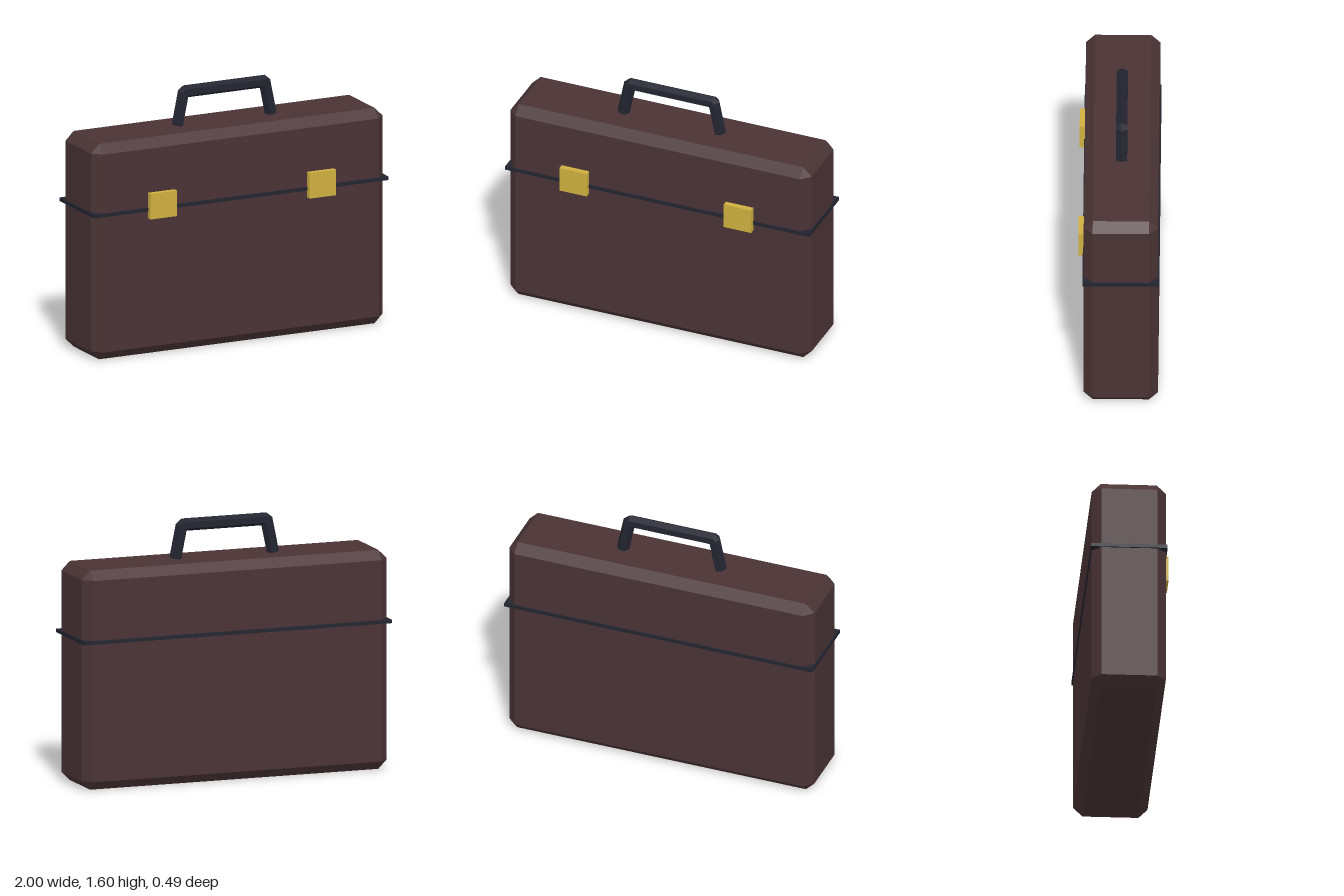
import * as THREE from 'three';
import { ConvexGeometry } from 'three/addons/geometries/ConvexGeometry.js';

const mat = (name, color) => {
  const m = new THREE.MeshStandardMaterial({ color });
  m.name = name;
  return m;
};

// Box with every edge and corner cut at 45 degrees
function chamferBox(w, h, d, c) {
  const half = [w / 2, h / 2, d / 2];
  const points = [];
  for (const sx of [-1, 1]) for (const sy of [-1, 1]) for (const sz of [-1, 1]) {
    for (let axis = 0; axis < 3; axis++) {
      const p = half.map((v, i) => (i === axis ? v : v - c));
      points.push(new THREE.Vector3(sx * p[0], sy * p[1], sz * p[2]));
    }
  }
  return new ConvexGeometry(points);
}

// Sweep a hexagon through stations [x, y, direction angle], with capped ends
function hexSweep(stations, r) {
  const rings = stations.map(([x, y, a]) => Array.from({ length: 6 }, (_, i) => {
    const t = (i / 6) * Math.PI * 2;
    const n = r * Math.cos(t);
    return [x - Math.sin(a) * n, y + Math.cos(a) * n, r * Math.sin(t)];
  }));
  const pos = [];
  const tri = (...corners) => corners.forEach((p) => pos.push(...p));
  for (let s = 0; s < rings.length - 1; s++) {
    for (let i = 0; i < 6; i++) {
      const j = (i + 1) % 6;
      const [a, b, c, d] = [rings[s][i], rings[s][j], rings[s + 1][j], rings[s + 1][i]];
      tri(a, b, c);
      tri(a, c, d);
    }
  }
  const first = rings[0], last = rings[rings.length - 1];
  for (let i = 1; i < 5; i++) {
    tri(first[0], first[i + 1], first[i]);
    tri(last[0], last[i], last[i + 1]);
  }
  const g = new THREE.BufferGeometry();
  g.setAttribute('position', new THREE.Float32BufferAttribute(pos, 3));
  g.computeVertexNormals();
  return g;
}

export function createModel() {
  const group = new THREE.Group();
  const leather = mat('brown leather', 0x4a3335);
  const dark = mat('dark trim', 0x222430);
  const brass = mat('brass', 0xcfb040);
  const zMid = -0.015;

  const add = (name, geometry, material, x, y, z) => {
    const mesh = new THREE.Mesh(geometry, material);
    mesh.name = name;
    mesh.position.set(x, y, z);
    group.add(mesh);
  };

  // Case
  add('caseBody', chamferBox(1.98, 1.35, 0.45, 0.055), leather, 0, 0.675, zMid);

  // Square-cornered band along the lid seam
  add('seamBand', new THREE.BoxGeometry(2, 0.022, 0.465), dark, 0, 0.915, zMid);

  // Clasps
  for (const side of [-1, 1]) {
    add(side > 0 ? 'leftClasp' : 'rightClasp',
      new THREE.BoxGeometry(0.18, 0.16, 0.045), brass, side * 0.54, 0.94, 0.2225);
  }

  // Carrying handle: two sloping legs and a straight grip
  const lean = Math.atan2(0.205, 0.042);
  add('handle', hexSweep([
    [-0.317, 1.352, lean], [-0.275, 1.557, lean], [-0.275, 1.557, 0],
    [0.275, 1.557, 0], [0.275, 1.557, -lean], [0.317, 1.352, -lean],
  ], 0.039), dark, 0, 0, zMid);

  return group;
}
